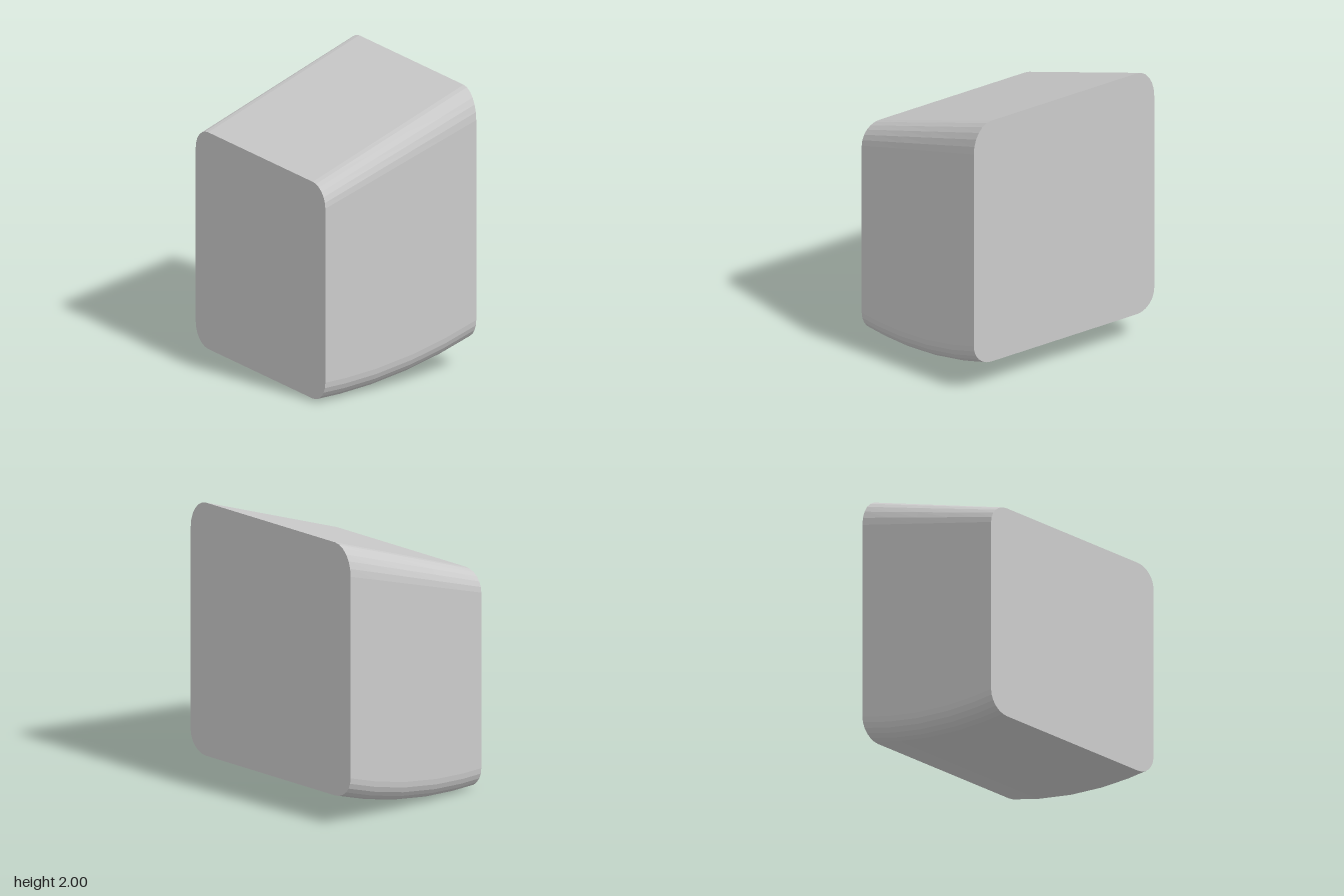
import * as THREE from 'three';

const HALF_DEPTH = 0.77;
const CORNER_STEPS = 6;
const STATIONS = [-0.62, -0.45, -0.2, 0.1, 0.37, 0.62];

// Rounded-rectangle cross-section at x: sloping top edge, curved bottom edge
function section(x) {
  const t = (x + 0.62) / 1.24;
  const top = 1.55 + 0.45 * t;
  const bottom = 0.15 * (x + 0.55) ** 2;
  const rTop = 0.15 + 0.06 * t, rBottom = 0.155, rz = 0.15;
  // corners in order: top front, bottom front, bottom back, top back
  const corners = [[top - rTop, 1, rTop], [bottom + rBottom, 1, rBottom],
    [bottom + rBottom, -1, rBottom], [top - rTop, -1, rTop]];
  const ring = [];
  corners.forEach(([cy, side, ry], k) => {
    for (let i = 0; i <= CORNER_STEPS; i++) {
      const a = (k + i / CORNER_STEPS) * Math.PI / 2;
      ring.push([x, cy + ry * Math.cos(a), side * (HALF_DEPTH - rz) + rz * Math.sin(a)]);
    }
  });
  return ring;
}

// Skin the cross-sections and close both ends with flat caps
function loft(rings) {
  const pos = [];
  const tri = (...points) => points.forEach((p) => pos.push(...p));
  const n = rings[0].length;
  for (let i = 0; i < rings.length - 1; i++) {
    for (let j = 0; j < n; j++) {
      const k = (j + 1) % n;
      const a = rings[i][j], b = rings[i][k], c = rings[i + 1][k], d = rings[i + 1][j];
      tri(a, b, c);
      tri(a, c, d);
    }
  }
  const first = rings[0], last = rings[rings.length - 1];
  for (let j = 1; j < n - 1; j++) {
    tri(last[0], last[j], last[j + 1]);
    tri(first[0], first[j + 1], first[j]);
  }
  const geometry = new THREE.BufferGeometry();
  geometry.setAttribute('position', new THREE.Float32BufferAttribute(pos, 3));
  geometry.computeVertexNormals();
  return geometry;
}

export function createModel() {
  const group = new THREE.Group();
  group.name = 'roundedWedgeBlock';
  const material = new THREE.MeshStandardMaterial({ color: 0xcccccc, flatShading: true });
  const body = new THREE.Mesh(loft(STATIONS.map(section)), material);
  body.name = 'body';
  group.add(body);
  return group;
}
